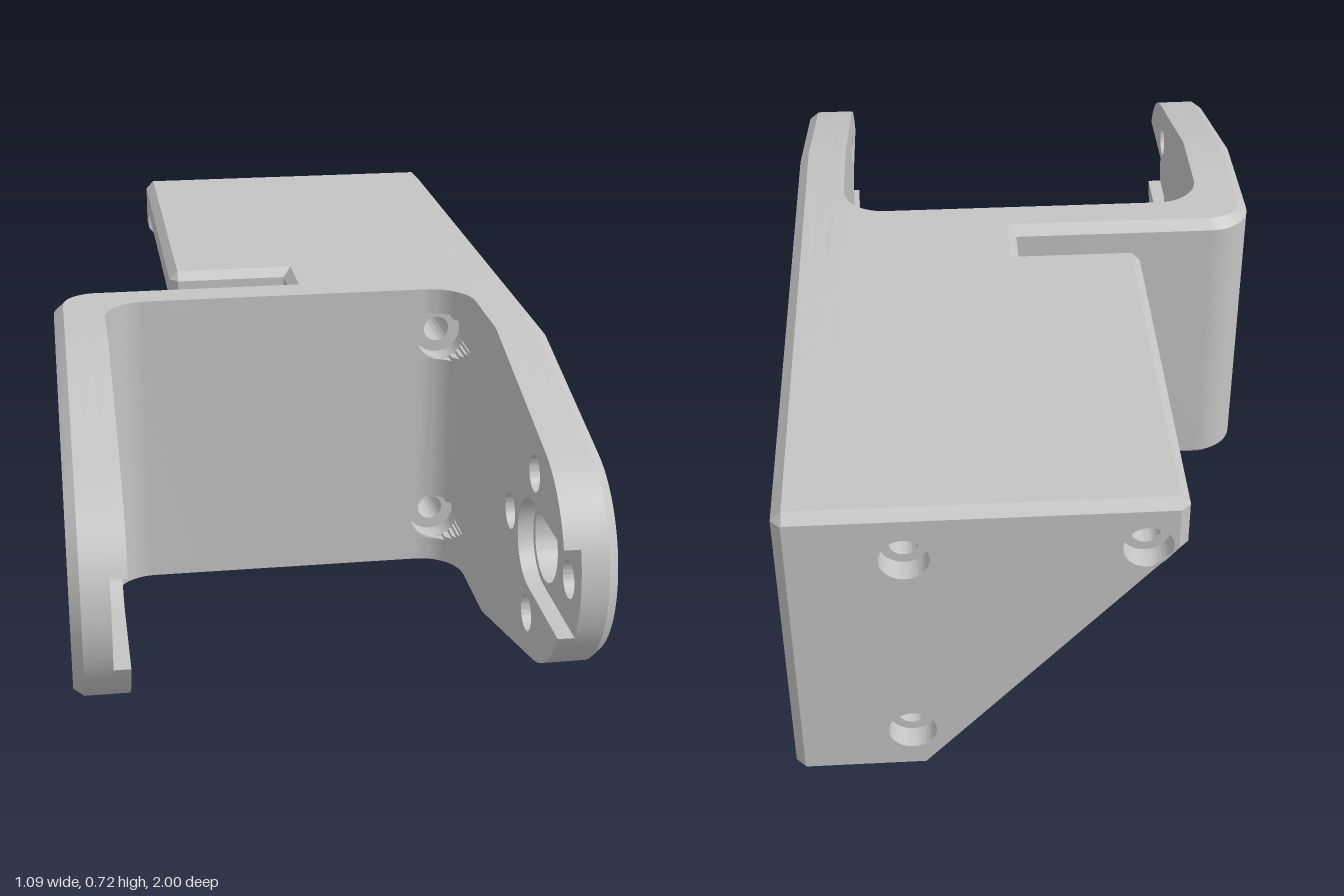
import * as THREE from 'three';
import { toCreasedNormals } from 'three/addons/utils/BufferGeometryUtils.js';

const grey = new THREE.MeshStandardMaterial({ color: 0xc4c4c4 });
grey.name = 'plain grey';

const H = 0.716, W = 0.545, C = 0.022; // height, half width, edge chamfer

// points along an arc, angles in degrees
function arc(cx, cy, r, a0, a1, n = 16) {
  return Array.from({ length: n + 1 }, (_, k) => {
    const a = THREE.MathUtils.degToRad(a0 + (a1 - a0) * k / n);
    return [cx + r * Math.cos(a), cy + r * Math.sin(a)];
  });
}

// Extrude outline(0) from d0 to d1; either end can shrink to outline(inset) for a chamfer.
function slab(outline, holes, d0, d1, lowInset = 0, highInset = 0) {
  const base = outline(0);
  const shape = new THREE.Shape(base.map(p => new THREE.Vector2(...p)));
  for (const [x, y, r] of holes) {
    shape.holes.push(new THREE.Path().absarc(x, y, r, 0, Math.PI * 2, true));
  }
  const geo = new THREE.ExtrudeGeometry(shape, { depth: d1 - d0, bevelEnabled: false, curveSegments: 32 });
  geo.translate(0, 0, d0);
  geo.deleteAttribute('uv');
  const pos = geo.attributes.position, low = outline(lowInset), high = outline(highInset);
  for (let v = 0; v < pos.count; v++) {
    const x = pos.getX(v), y = pos.getY(v);
    const k = base.findIndex(p => Math.hypot(p[0] - x, p[1] - y) < 1e-5);
    if (k < 0) continue;
    const p = Math.abs(pos.getZ(v) - d0) < 1e-5 ? low[k] : high[k];
    pos.setXY(v, p[0], p[1]);
  }
  return toCreasedNormals(geo, 0.4);
}

// Arm outline in (z, y): straight back, taper, round tip; optional groove open at the tip
const HUB = 0.75, MID = H / 2;
function armOutline(back, groove) {
  return i => {
    const R = 0.25 - Math.min(i, 0.016), T = 74.4, zc = 0.39 - 0.137 * i;
    const g = 23.58;
    const tip = groove
      ? [...arc(HUB, MID, R, -T, -g, 10), ...arc(HUB, MID, 0.1, 270, 90, 20), ...arc(HUB, MID, R, g, T, 10)]
      : arc(HUB, MID, R, -T, T, 40);
    return [[back, i], [zc, i], ...tip, [zc, H - i], [back, H - i]];
  };
}

// Mounting plate profile in (x, y): flat top, short left edge, sloping cut
const plate = i => [
  [W - C, i], [W - i, C], [W - i, H - C], [W - C, H - i],
  [-0.24, H - i], [-0.26 + i, H - 0.02], [-0.26 + i, 0.6], [0.27, i]];

// Box shell behind the crossbar: thin roof, side wall and floor cut off along the slope
const shell = i => [
  [0.5, 0], [0.5, H - i], [-0.24, H - i], [-0.26 + i, H - 0.02], [-0.26 + i, 0.645],
  ...arc(0.37, 0.585, 0.06, 90, 0, 8), [0.43, 0.06], [0.217, 0.06], [0.27, 0]];

export function createModel() {
  const root = new THREE.Group();
  root.name = 'forkBracket';
  const add = (name, geo, parent) => {
    const mesh = new THREE.Mesh(geo, grey);
    mesh.name = name;
    parent.add(mesh);
  };
  const group = name => {
    const g = new THREE.Group();
    g.name = name;
    root.add(g);
    return g;
  };

  // Fork arms: grooved inner layer, screw-hole layer, counterbored outer layer
  const bolts = r => [[HUB + 0.165, MID, r], [HUB, MID + 0.165, r], [HUB - 0.165, MID, r], [HUB, MID - 0.165, r]];
  const bore = [HUB, MID, 0.085];
  for (const [name, side, back] of [['rightArm', -1, 0.2], ['leftArm', 1, -0.9]]) {
    const arm = group(name);
    const layer = (part, outline, holes, a, b, inset) => {
      const geo = side < 0 ? slab(outline, holes, a, b, 0, inset) : slab(outline, holes, -b, -a, inset, 0);
      add(part, geo.rotateY(-Math.PI / 2), arm);
    };
    layer('groovedFace', armOutline(back, true), bolts(0.04).slice(1), 0.43, 0.465, 0);
    layer('screwLayer', armOutline(back), [bore, ...bolts(0.04)], 0.465, 0.495, 0);
    layer('counterboreLayer', armOutline(back), [bore, ...bolts(0.068)], 0.495, W - C, 0);
    layer('chamferedFace', armOutline(back), [bore, ...bolts(0.068)], W - C, W, C);
  }

  // Crossbar with rounded corner, chamfered along its outer edges
  const bar = group('crossbar');
  const barOutline = i => [
    [-W + i, 0.2], ...arc(0.1 - W, 0.1, 0.1 - i, 180, 270),
    [0.3, i], [0.3, 0.1], ...arc(-0.33, 0.2, 0.1, 270, 180)];
  for (const [y0, y1, lo, hi] of [[0, C, C, 0], [C, H - C, 0, 0], [H - C, H, 0, C]]) {
    add('barSection', slab(barOutline, [], -y1, -y0, hi, lo).rotateX(Math.PI / 2), bar);
  }

  // Crossbar end with two counterbored screw holes
  const HX = 0.373, HR = 0.058, HY = [0.118, 0.598];
  const screws = r => HY.map(y => [HX, y, r]);
  const endOutline = () => [[0.3, 0], [0.45, 0], [0.45, H], [0.3, H]];
  add('screwSeat', slab(endOutline, screws(0.03), 0, 0.05), bar);
  add('screwRecess', slab(endOutline, screws(HR), 0.05, 0.1), bar);

  // Inner fillet, cut back in thin slices around the screw recesses
  const fillet = (x0, y0, y1) => {
    const a0 = -THREE.MathUtils.radToDeg(Math.acos((x0 - 0.33) / 0.1));
    const outline = () => [...arc(0.33, 0.2, 0.1, a0, 0), [0.44, 0.2], [0.44, 0.1], [x0, 0.099]];
    add('fillet', slab(outline, [], -y1, -y0).rotateX(Math.PI / 2), bar);
  };
  fillet(0.331, 0, HY[0] - HR);
  fillet(0.331, HY[0] + HR, HY[1] - HR);
  fillet(0.331, HY[1] + HR, H);
  const SLICES = 12, step = 2 * HR / SLICES;
  for (const y of HY) {
    for (let k = 0; k < SLICES; k++) {
      const d = -HR + (k + 0.5) * step;
      const x0 = Math.min(HX + Math.sqrt(HR * HR - d * d), 0.429);
      fillet(x0, y + d - step / 2, y + d + step / 2);
    }
  }

  // Rear block: mounting plate with recessed holes, then the open shell
  const block = group('rearBlock');
  const mounts = r => [[0.295, 0.598, r], [0.295, 0.118, r], [-0.18, 0.605, r]];
  add('mountingFace', slab(plate, mounts(0.05), -1, -0.98, 0.02, 0), block);
  add('mountingRecess', slab(plate, mounts(0.05), -0.98, -0.95), block);
  add('mountingPlate', slab(plate, mounts(0.03), -0.95, -0.9), block);
  add('shell', slab(shell, [], -0.9, -0.12), block);
  add('shellEdge', slab(shell, [], -0.12, -0.1, 0, 0.02), block);

  // Web joining shell and crossbar beside the slot
  const web = () => [[0.02, 0.283], [0.27, 0], [0.5, 0], [0.5, H], [0.04, H], [0.02, H - 0.02]];
  add('web', slab(web, screws(0.03), -0.125, 0.03), block);

  return root;
}
